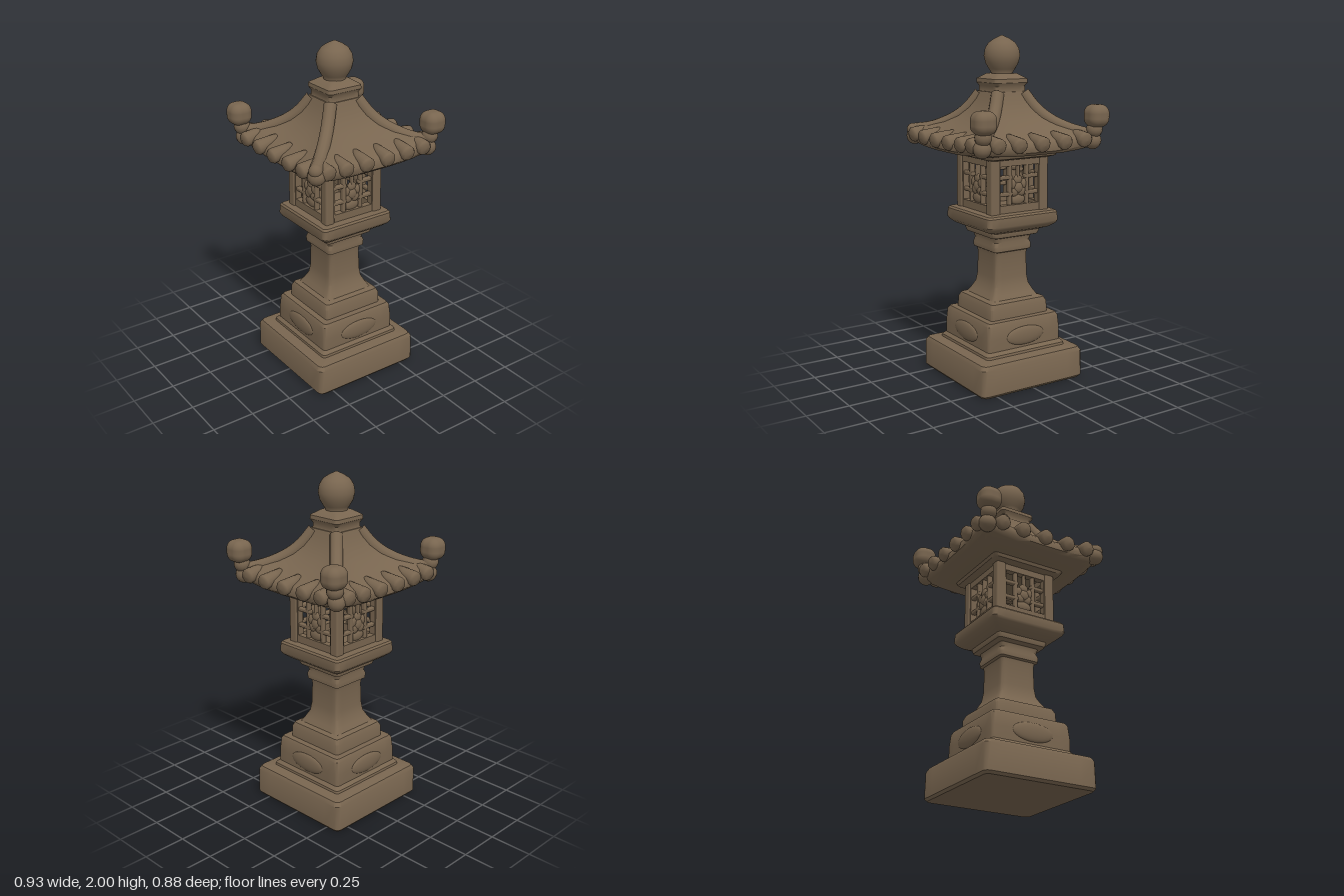
import * as THREE from 'three';
import { toCreasedNormals } from 'three/addons/utils/BufferGeometryUtils.js';
import { RoundedBoxGeometry } from 'three/addons/geometries/RoundedBoxGeometry.js';

const stone = new THREE.MeshStandardMaterial({ color: 0x78654f });
stone.name = 'weathered stone';

function add(parent, name, geometry, x = 0, y = 0, z = 0) {
  const mesh = new THREE.Mesh(geometry, stone);
  mesh.name = name;
  mesh.position.set(x, y, z);
  parent.add(mesh);
  return mesh;
}

// Square loft with rounded corners; rows run bottom to top as [half width, y, corner lift]
function squareLoft(rows, radius = 0.02, crease = 0.6) {
  const sideSteps = 8, arcSteps = 3, pos = [], index = [];
  let count = 0;
  for (const [h, y, lift = 0] of rows) {
    const r = Math.min(radius, h), flat = h - r;
    count = 0;
    for (let side = 0; side < 4; side++) {
      const c = Math.round(Math.cos(side * Math.PI / 2)), s = Math.round(Math.sin(side * Math.PI / 2));
      const put = (x, z) => {
        const k = h > 0 ? Math.min(Math.abs(x), Math.abs(z)) / h : 0;
        pos.push(x * c - z * s, y + lift * k ** 3, x * s + z * c);
        count++;
      };
      for (let i = 0; i <= sideSteps; i++) put(h, flat * (2 * i / sideSteps - 1));
      for (let i = 1; i < arcSteps; i++) {
        const a = i / arcSteps * Math.PI / 2;
        put(flat + r * Math.cos(a), flat + r * Math.sin(a));
      }
    }
  }
  for (let i = 0; i < rows.length - 1; i++) {
    for (let j = 0; j < count; j++) {
      const a = i * count + j, b = i * count + (j + 1) % count;
      index.push(a, a + count, b, b, a + count, b + count);
    }
  }
  const g = new THREE.BufferGeometry();
  g.setAttribute('position', new THREE.Float32BufferAttribute(pos, 3));
  g.setIndex(index);
  return toCreasedNormals(g, crease);
}

function lathe(points, segments) {
  return new THREE.LatheGeometry(points.map(p => new THREE.Vector2(...p)), segments);
}

// One pierced wall, built facing +z
function latticeWall() {
  const wall = new THREE.Group();
  wall.name = 'latticeWall';
  const shape = new THREE.Shape([[-0.175, 1], [0.175, 1], [0.175, 1.33], [-0.175, 1.33]].map(p => new THREE.Vector2(...p)));
  shape.holes.push(new THREE.Path([[-0.128, 1.055], [-0.128, 1.277], [0.128, 1.277], [0.128, 1.055]].map(p => new THREE.Vector2(...p))));
  add(wall, 'windowFrame', new THREE.ExtrudeGeometry(shape, { depth: 0.04, bevelEnabled: false }), 0, 0, 0.145);
  for (const x of [-0.058, 0.058]) add(wall, 'uprightBar', new RoundedBoxGeometry(0.024, 0.23, 0.03, 2, 0.008), x, 1.165, 0.165);
  for (const y of [1.117, 1.212]) {
    for (const x of [-0.09, 0.09]) add(wall, 'crossBar', new RoundedBoxGeometry(0.1, 0.024, 0.03, 2, 0.008), x, y, 0.165);
  }
  // Blossom carved in the middle of the window
  add(wall, 'blossomStem', new RoundedBoxGeometry(0.016, 0.09, 0.026, 2, 0.006), 0, 1.24, 0.165);
  add(wall, 'blossomHeart', new THREE.SphereGeometry(0.035, 14, 10), 0, 1.15, 0.165).scale.z = 0.55;
  for (let i = 0; i < 5; i++) {
    const a = Math.PI / 2 + i * Math.PI * 2 / 5;
    const petal = add(wall, 'petal', new THREE.SphereGeometry(0.029, 12, 8), Math.cos(a) * 0.04, 1.157 + Math.sin(a) * 0.037, 0.165);
    petal.scale.z = 0.5;
  }
  add(wall, 'blossomBase', new THREE.SphereGeometry(0.05, 14, 10), 0, 1.08, 0.163).scale.set(1, 0.62, 0.3);
  return wall;
}

export function createModel() {
  const model = new THREE.Group();
  model.name = 'stoneLantern';

  // Stepped foot, pillar and platform
  add(model, 'plinth', squareLoft([
    [0, 0], [0.335, 0], [0.347, 0.015], [0.345, 0.165], [0.332, 0.187], [0.26, 0.197], [0, 0.2]], 0.03));
  add(model, 'carvedTier', squareLoft([
    [0.272, 0.185], [0.268, 0.21], [0.25, 0.228], [0.25, 0.3], [0.243, 0.375], [0.232, 0.392], [0, 0.4]], 0.022));
  add(model, 'pillar', squareLoft([
    [0.197, 0.38], [0.195, 0.455], [0.182, 0.482], [0.155, 0.492], [0.138, 0.52], [0.118, 0.56], [0.111, 0.61],
    [0.108, 0.74], [0.112, 0.765], [0.126, 0.772], [0.128, 0.8], [0.12, 0.825], [0.126, 0.852],
    [0.155, 0.862], [0.162, 0.885], [0.16, 0.9], [0, 0.905]], 0.02));
  add(model, 'platform', squareLoft([
    [0, 0.885], [0.16, 0.89], [0.205, 0.908], [0.232, 0.93], [0.24, 0.945], [0.237, 0.995], [0.228, 1.006], [0.19, 1.01], [0, 1.01]], 0.022));

  // Walls, posts and foot reliefs, one per side
  for (let i = 0; i < 4; i++) {
    const side = new THREE.Group();
    side.name = 'lanternSide';
    side.rotation.y = i * Math.PI / 2;
    side.add(latticeWall());
    add(side, 'cornerPost', new RoundedBoxGeometry(0.06, 0.34, 0.06, 2, 0.012), 0.164, 1.165, 0.164);
    add(side, 'footRelief', new THREE.SphereGeometry(1, 20, 12), 0, 0.295, 0.247).scale.set(0.13, 0.055, 0.018);
    model.add(side);
  }

  // Concave roof with lifted corners
  const roof = new THREE.Group();
  roof.name = 'roof';
  model.add(roof);
  add(roof, 'roofSlopes', squareLoft([
    [0, 1.315], [0.2, 1.315], [0.228, 1.325], [0.236, 1.343], [0.27, 1.35], [0.37, 1.358, 0.025],
    [0.39, 1.375, 0.04], [0.392, 1.41, 0.05], [0.375, 1.43, 0.05], [0.32, 1.452, 0.04], [0.26, 1.485, 0.03],
    [0.2, 1.53, 0.02], [0.155, 1.585, 0.01], [0.125, 1.64], [0.108, 1.685], [0, 1.69]], 0.02, 0.8));
  add(roof, 'roofNeck', squareLoft([
    [0.108, 1.66], [0.1, 1.69], [0.1, 1.715], [0.112, 1.735], [0.11, 1.757], [0.095, 1.767], [0.068, 1.785], [0, 1.79]], 0.02));

  // Rounded tile ends along the eaves
  const tile = lathe([[0, -0.15], [0.028, -0.145], [0.036, -0.09], [0.043, -0.03], [0.043, -0.014], [0.032, 0], [0, 0.003]], 14);
  const rows = [[0, 0.42, 6], [1, 0.432, 5], [2, 0.425, 6], [3, 0.432, 5]];
  for (const [turn, reach, n] of rows) {
    const eave = new THREE.Group();
    eave.name = 'eaveTiles';
    eave.rotation.y = turn * Math.PI / 2;
    const places = n === 6 ? [-0.32, -0.205, -0.07, 0.07, 0.205, 0.32] : [-0.285, -0.15, 0, 0.15, 0.285];
    for (const x of places) {
      const mesh = add(eave, 'tileEnd', tile, x, 1.415 + 0.1 * Math.abs(x) ** 2, reach);
      mesh.rotation.x = Math.PI / 2 + 0.22;
    }
    roof.add(eave);
  }

  // Corner ridges; the front right one has lost its knob
  for (const sx of [-1, 1]) for (const sz of [-1, 1]) {
    const broken = sx < 0 && sz > 0;
    const path = [[0.09, 1.675], [0.14, 1.59], [0.19, 1.535], [0.25, 1.493], [0.31, 1.465], [0.36, 1.455]];
    path.push(broken ? [0.385, 1.45] : [0.388, 1.485]);
    const curve = new THREE.CatmullRomCurve3(path.map(([d, y]) => new THREE.Vector3(sx * d, y, sz * d * 0.97)));
    add(roof, 'cornerRidge', new THREE.TubeGeometry(curve, 28, 0.037, 12));
    if (broken) {
      add(roof, 'brokenRidgeEnd', new THREE.SphereGeometry(0.038, 14, 10), -0.385, 1.45, 0.373);
    } else {
      add(roof, 'ridgeStem', new THREE.SphereGeometry(0.047, 14, 10), sx * 0.388, 1.478, sz * 0.368);
      add(roof, 'ridgeKnob', new RoundedBoxGeometry(0.13, 0.128, 0.13, 5, 0.05), sx * 0.4, 1.556, sz * 0.373);
    }
    add(roof, 'eaveCorner', new THREE.SphereGeometry(0.05, 14, 10), sx * 0.375, 1.415, sz * 0.367);
  }

  // Pointed ball on top
  add(model, 'finial', lathe([
    [0.066, 1.765], [0.062, 1.79], [0.075, 1.81], [0.095, 1.845], [0.104, 1.885], [0.097, 1.925],
    [0.077, 1.957], [0.045, 1.979], [0.02, 1.991], [0, 2]], 28));

  return model;
}
